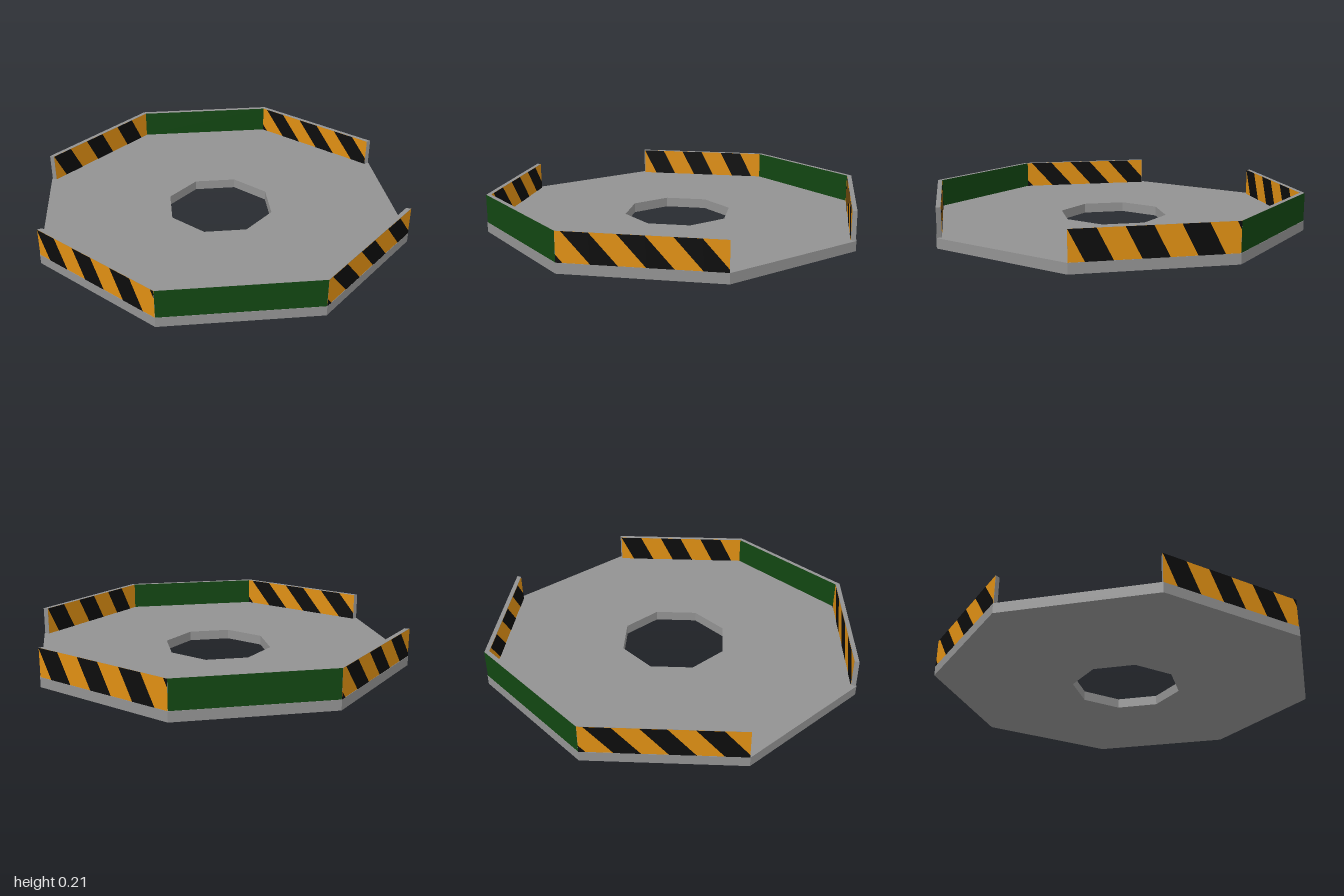
import * as THREE from 'three';

const TAN = Math.tan(Math.PI / 8);
const BASE_H = 0.055, TOP = 0.212, WALL_H = TOP - BASE_H, THICK = 0.024;
const PERIOD = 0.268, BAND = 0.134;

const mat = (name, color, side = THREE.FrontSide) => {
  const m = new THREE.MeshStandardMaterial({ color, side });
  m.name = name;
  return m;
};

// Corners of a regular octagon with flat sides facing the axes
function octagon(apothem) {
  const r = apothem / Math.cos(Math.PI / 8);
  return Array.from({ length: 8 }, (_, i) => {
    const a = Math.PI / 8 + i * Math.PI / 4;
    return new THREE.Vector2(r * Math.cos(a), r * Math.sin(a));
  });
}

// Extrude a ground plan upwards
function slab(shape, height, y) {
  const g = new THREE.ExtrudeGeometry(shape, { depth: height, bevelEnabled: false });
  return g.rotateX(-Math.PI / 2).translate(0, y, 0);
}

// Keep the part of a polygon on one side of x = limit
function clip(points, limit, sign) {
  const out = [];
  points.forEach((p, i) => {
    const q = points[(i + 1) % points.length];
    const dp = (p.x - limit) * sign, dq = (q.x - limit) * sign;
    if (dp >= 0) out.push(p);
    if (dp * dq < 0) out.push(p.clone().lerp(q, dp / (dp - dq)));
  });
  return out;
}

// Slanted hazard bands cut to the panel length
function bandGeometry(length, start, slant) {
  const shapes = [];
  for (let i = -1; i < 5; i++) {
    const a = start + i * PERIOD;
    let pts = [[a + slant, 0], [a + slant + BAND, 0], [a + BAND, WALL_H], [a, WALL_H]]
      .map(([x, y]) => new THREE.Vector2(x, y));
    pts = clip(clip(pts, 0, 1), length, -1);
    if (pts.length > 2) shapes.push(new THREE.Shape(pts));
  }
  return new THREE.ShapeGeometry(shapes).translate(-length / 2, 0, 0);
}

export function createModel() {
  const model = new THREE.Group();
  model.name = 'octagonalPlatform';
  const grey = mat('concreteGrey', 0x929292);
  const green = mat('darkGreen', 0x124612);
  const orange = mat('hazardOrange', 0xdf8f13);
  const black = mat('hazardBlack', 0x0c0c0c);

  const add = (parent, name, geometry, material) => {
    const mesh = new THREE.Mesh(geometry, material);
    mesh.name = name;
    parent.add(mesh);
    return mesh;
  };

  // Floor with an octagonal opening
  const floor = new THREE.Shape(octagon(1));
  floor.holes.push(new THREE.Path(octagon(0.285).reverse()));
  add(model, 'floor', slab(floor, BASE_H, 0), grey);

  // Mitred low walls on six sides; the left and right sides stay open
  const outer = 0.997, inner = outer - THICK;
  const ox = outer * TAN, ix = inner * TAN;
  const wallShape = new THREE.Shape([
    new THREE.Vector2(-ox, -outer), new THREE.Vector2(ox, -outer),
    new THREE.Vector2(ix, -inner), new THREE.Vector2(-ix, -inner),
  ]);
  for (const k of [0, 1, 3, 4, 5, 7]) {
    const wall = new THREE.Group();
    wall.name = k % 4 ? 'hazardWall' : 'greenWall';
    wall.rotation.y = k * Math.PI / 4;
    model.add(wall);
    add(wall, 'wallCore', slab(wallShape, WALL_H, BASE_H), grey);

    // Painted outer and inner faces
    for (const inside of [false, true]) {
      const length = 2 * (inside ? ix : ox);
      const face = new THREE.Group();
      face.name = inside ? 'innerFace' : 'outerFace';
      face.position.set(0, BASE_H, inside ? inner : outer);
      face.rotation.y = inside ? Math.PI : 0;
      wall.add(face);
      const panel = new THREE.PlaneGeometry(length, WALL_H).translate(0, WALL_H / 2, 0.0012);
      add(face, 'paintedPanel', panel, k % 4 ? orange : green);
      if (k % 4) {
        const wide = (k % 4 === 1) !== inside;
        const bands = bandGeometry(length, wide ? 0.03 : 0, wide ? 0.14 : 0.08);
        add(face, 'hazardBands', bands.translate(0, 0, 0.0026), black);
      }
    }
  }
  return model;
}
